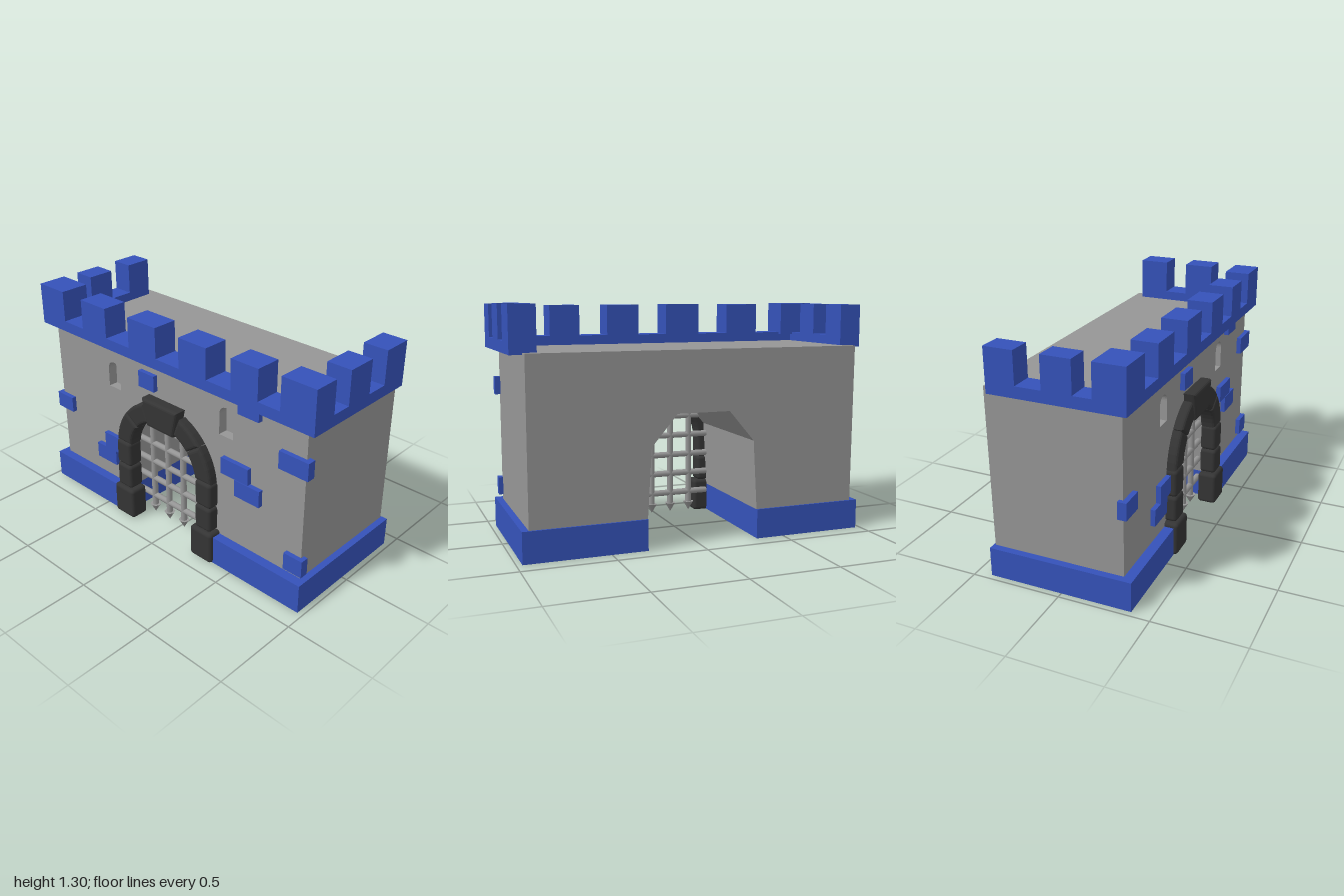
import * as THREE from 'three';
import { RoundedBoxGeometry } from 'three/addons/geometries/RoundedBoxGeometry.js';

const grey = new THREE.MeshStandardMaterial({ color: 0x959595 });
const blue = new THREE.MeshStandardMaterial({ color: 0x3552b9 });
const dark = new THREE.MeshStandardMaterial({ color: 0x343434 });
const CX = -0.016; // gateway centre line

function add(parent, name, geometry, material) {
  const mesh = new THREE.Mesh(geometry, material);
  mesh.name = name;
  parent.add(mesh);
  return mesh;
}

function group(parent, name) {
  const g = new THREE.Group();
  g.name = name;
  parent.add(g);
  return g;
}

// Box given by its limits on each axis
function block(parent, name, material, x0, x1, y0, y1, z0, z1) {
  const mesh = add(parent, name, new THREE.BoxGeometry(x1 - x0, y1 - y0, z1 - z0), material);
  mesh.position.set((x0 + x1) / 2, (y0 + y1) / 2, (z0 + z1) / 2);
  return mesh;
}

const polygon = (pts) => new THREE.Shape(pts.map(([x, y]) => new THREE.Vector2(x, y)));

function extrude(shape, z0, z1) {
  const g = new THREE.ExtrudeGeometry(shape, { depth: z1 - z0, bevelEnabled: false, curveSegments: 8 });
  return g.translate(0, 0, z0);
}

// Wall outline with the many-sided gateway cut up from below
function wallShape() {
  return polygon([
    [-0.93, 0.168], [CX - 0.318, 0.168], [CX - 0.295, 0.555], [CX - 0.15, 0.725],
    [CX + 0.15, 0.725], [CX + 0.295, 0.555], [CX + 0.318, 0.168],
    [0.933, 0.168], [0.933, 1.06], [-0.938, 1.06],
  ]);
}

// Narrow round-topped window
function windowHole(x, y0, y1) {
  const r = 0.048, p = new THREE.Path();
  p.moveTo(x - r, y0);
  p.lineTo(x + r, y0);
  p.lineTo(x + r, y1 - r);
  p.absarc(x, y1 - r, r, 0, Math.PI, false);
  p.closePath();
  return p;
}

// Rectangular frame lying flat, open in the middle
function frame(x0, x1, z0, z1, t, y0, y1) {
  const [l, r, f, b] = [x0, x1, -z1, -z0];
  const s = polygon([[l, f], [r, f], [r, b], [l, b]]);
  s.holes.push(polygon([[l + t, f + t], [l + t, b - t], [r - t, b - t], [r - t, f + t]]));
  return extrude(s, y0, y1).rotateX(-Math.PI / 2);
}

// Stone with softened edges, cut to a front outline
function cutStone(parent, name, pts, z0, z1) {
  const b = 0.018;
  const g = new THREE.ExtrudeGeometry(polygon(pts), {
    depth: z1 - z0 - 2 * b, bevelThickness: b, bevelSize: b, bevelOffset: -b, bevelSegments: 3,
  });
  return add(parent, name, g.translate(0, 0, z0 + b), dark);
}

// Section of the arch ring between two angles
function archStone(parent, a0, a1) {
  const pts = [], n = 5;
  const at = (r, a) => [CX + r * Math.cos(a), 0.495 + r * Math.sin(a)];
  const outer = (a) => 0.37 - 0.03 * Math.sin(a);
  for (let i = 0; i <= n; i++) {
    const a = a0 + (a1 - a0) * i / n;
    pts.push(at(outer(a), a));
  }
  for (let i = n; i >= 0; i--) {
    const a = a0 + (a1 - a0) * i / n;
    pts.push(at(0.255 - 0.03 * Math.sin(a), a));
  }
  cutStone(parent, 'archStone', pts, 0.3, 0.392);
}

export function createModel() {
  const model = new THREE.Group();
  model.name = 'gatehouse';

  // Walls: solid body with a front skin holding the recessed windows
  const walls = group(model, 'walls');
  add(walls, 'wallBody', extrude(wallShape(), -0.4, 0.28), grey);
  const skin = wallShape();
  skin.holes.push(windowHole(-0.44, 0.788, 0.947), windowHole(0.417, 0.802, 0.97));
  add(walls, 'frontWall', extrude(skin, 0.28, 0.335), grey);

  // Plinths on both sides of the gateway, hollow underneath
  for (const [x0, x1, top] of [[-0.97, CX - 0.318, 0.17], [CX + 0.318, 0.97, 0.175]]) {
    const plinth = group(model, 'plinth');
    add(plinth, 'plinthFrame', frame(x0, x1, -0.41, 0.39, 0.015, 0.005, top), blue);
    add(plinth, 'plinthLining', frame(x0 + 0.014, x1 - 0.014, -0.396, 0.376, 0.01, 0.07, 0.15), grey);
    block(plinth, 'plinthTop', blue, x0 + 0.01, x1 - 0.01, 0.145, top, -0.4, 0.38);
  }

  // Parapet on the front and two sides
  const parapet = group(model, 'parapet');
  block(parapet, 'frontParapet', blue, -1, 1, 1.05, 1.112, 0.24, 0.385);
  block(parapet, 'rightParapet', blue, -1, -0.875, 1.05, 1.112, -0.345, 0.24);
  block(parapet, 'leftParapet', blue, 0.86, 1, 1.05, 1.112, -0.345, 0.24);
  const frontMerlons = [
    [-1, -0.795, 1.29, 0.215], [-0.635, -0.435, 1.285, 0.24], [-0.25, -0.04, 1.287, 0.24],
    [0.13, 0.322, 1.285, 0.24], [0.487, 0.66, 1.285, 0.24], [0.797, 1, 1.295, 0.24],
  ];
  for (const [x0, x1, top, z0] of frontMerlons) {
    block(parapet, 'frontMerlon', blue, x0, x1, 1.1, top, z0, 0.385);
  }
  for (const [z0, z1] of [[-0.345, -0.175], [-0.045, 0.125]]) {
    block(parapet, 'rightMerlon', blue, -1, -0.875, 1.1, 1.288, z0, z1 - 0.01);
    block(parapet, 'leftMerlon', blue, 0.86, 1, 1.1, 1.3, z0, z1);
  }

  // Raised bricks scattered over the front
  const bricks = group(model, 'bricks');
  for (const [x0, x1, y0, y1] of [
    [-0.208, -0.088, 0.89, 0.985], [0.515, 0.652, 0.985, 1.055], [0.782, 0.963, 0.785, 0.885],
    [0.405, 0.59, 0.595, 0.69], [0.5, 0.667, 0.495, 0.592], [0.84, 0.957, 0.205, 0.305],
    [-0.958, -0.823, 0.5, 0.595], [-0.528, -0.388, 0.375, 0.475], [-0.603, -0.438, 0.28, 0.375],
  ]) block(bricks, 'brick', blue, x0, x1, y0, y1, 0.313, 0.362);

  // Stone surround of the gateway
  const surround = group(model, 'gateSurround');
  for (const side of [-1, 1]) {
    for (const [name, x, w, y0, y1, z1] of [
      ['footStone', 0.313, 0.158, 0.003, 0.195, 0.412],
      ['jambStone', 0.316, 0.115, 0.195, 0.345, 0.397],
      ['jambStone', 0.316, 0.115, 0.345, 0.5, 0.395],
    ]) {
      const g = new RoundedBoxGeometry(w, y1 - y0, z1 - 0.3, 3, 0.02);
      add(surround, name, g, dark).position.set(CX + side * x, (y0 + y1) / 2, (z1 + 0.3) / 2);
    }
    for (const [a0, a1] of [[0.01, 0.62], [0.63, 1.16]]) {
      if (side > 0) archStone(surround, a0, a1);
      else archStone(surround, Math.PI - a1, Math.PI - a0);
    }
  }
  const keystone = [[CX - 0.1, 0.688], [CX + 0.1, 0.688], [CX + 0.137, 0.85], [CX - 0.137, 0.85]];
  cutStone(surround, 'keystone', keystone, 0.3, 0.402);

  // Portcullis of crossed bars with pointed ends
  const gate = group(model, 'portcullis');
  gate.position.z = 0.275;
  for (const x of [-0.2, -0.08, 0.04, 0.16]) {
    add(gate, 'uprightBar', new THREE.CylinderGeometry(0.018, 0.018, 0.64, 10), grey).position.set(x, 0.39, 0);
    const tip = add(gate, 'spike', new THREE.ConeGeometry(0.032, 0.055, 8), grey);
    tip.rotation.x = Math.PI;
    tip.position.set(x, 0.047, 0);
  }
  for (const y of [0.138, 0.258, 0.375, 0.495, 0.613]) {
    const bar = add(gate, 'crossBar', new THREE.CylinderGeometry(0.018, 0.018, y > 0.6 ? 0.5 : 0.6, 10), grey);
    bar.rotation.z = Math.PI / 2;
    bar.position.set(CX, y, 0);
  }
  return model;
}
